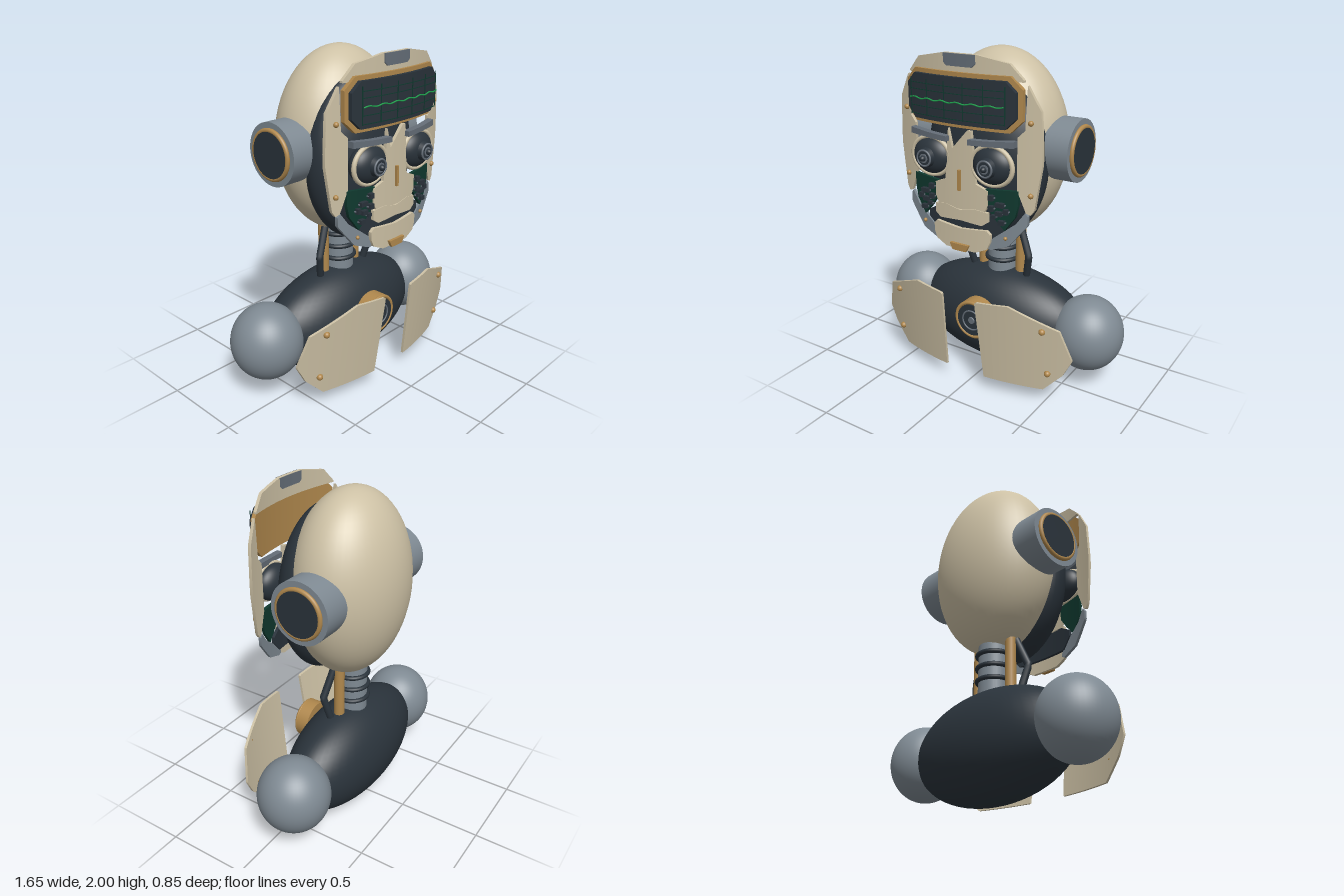
import * as THREE from 'three';
import { toCreasedNormals } from 'three/addons/utils/BufferGeometryUtils.js';

const material = (name, color) => {
  const m = new THREE.MeshStandardMaterial({ color });
  m.name = name;
  return m;
};

// A polyline's height at x
function heightAt(line, x) {
  for (let i = 1; i < line.length; i++) {
    const [x0, y0] = line[i - 1], [x1, y1] = line[i];
    if (x <= x1 + 1e-9) return y0 + (y1 - y0) * Math.max(0, (x - x0) / (x1 - x0));
  }
  return line[line.length - 1][1];
}

// Curved plate between an upper and a lower outline, bent by depth(x, y)
function plateGeometry(top, bottom, depth, front, thick) {
  const marks = [...new Set([...top, ...bottom].map(p => p[0]))].sort((a, b) => a - b);
  const xs = [];
  marks.forEach((x, i) => {
    if (i) {
      const n = Math.ceil((x - marks[i - 1]) / 0.05);
      for (let k = 1; k < n; k++) xs.push(marks[i - 1] + (x - marks[i - 1]) * k / n);
    }
    xs.push(x);
  });
  const rings = xs.map(x => {
    const t = heightAt(top, x), b = heightAt(bottom, x);
    const zt = depth(x, t) + front, zb = depth(x, b) + front;
    return [[x, b, zb], [x, t, zt], [x, t, zt - thick], [x, b, zb - thick]];
  });
  const pos = [];
  const quad = (a, b, c, d) => pos.push(...a, ...b, ...c, ...a, ...c, ...d);
  for (let i = 1; i < rings.length; i++) {
    const p = rings[i - 1], q = rings[i];
    for (let k = 0; k < 4; k++) quad(p[k], q[k], q[(k + 1) % 4], p[(k + 1) % 4]);
  }
  const a = rings[0], e = rings[rings.length - 1];
  quad(a[3], a[0], a[1], a[2]);
  quad(e[0], e[3], e[2], e[1]);
  const geo = new THREE.BufferGeometry();
  geo.setAttribute('position', new THREE.Float32BufferAttribute(pos, 3));
  return toCreasedNormals(geo, 0.5);
}

const faceZ = x => 0.33 - 0.35 * x * x;
const chestZ = (x, y) => 0.325 + 0.12 * (y - 0.1) - 0.32 * x * x;
const flip = line => line.map(([x, y]) => [-x, y]).reverse();

export function createModel() {
  const group = new THREE.Group();
  const cream = material('cream shell', 0xcdc1a5);
  const dark = material('dark casing', 0x2a333b);
  const grey = material('grey metal', 0x7f8a93);
  const steel = material('dark steel', 0x656e78);
  const gold = material('bronze', 0xb0884d);
  const board = material('circuit green', 0x10392f);
  const glow = material('bright green', 0x1f9f4d);

  const add = (name, geo, mat, x = 0, y = 0, z = 0) => {
    const m = new THREE.Mesh(geo, mat);
    m.name = name;
    m.position.set(x, y, z);
    group.add(m);
    return m;
  };
  const ball = (name, mat, r, p) => {
    const m = add(name, new THREE.SphereGeometry(1, 48, 32), mat, ...p);
    m.scale.set(...r);
    return m;
  };
  // Disc-like cylinder along z, from back to front
  const barrel = (name, mat, r0, r1, x, y, z0, z1) => {
    const geo = new THREE.CylinderGeometry(r1, r0, z1 - z0, 40).rotateX(Math.PI / 2);
    return add(name, geo, mat, x, y, (z0 + z1) / 2);
  };
  const plate = (name, mat, top, bottom, front = 0, thick = 0.02, depth = faceZ) =>
    add(name, plateGeometry(top, bottom, depth, front, thick), mat);
  const plates = (name, mat, top, bottom, ...rest) => {
    plate(name, mat, top, bottom, ...rest);
    plate(name, mat, flip(top), flip(bottom), ...rest);
  };
  const rect = (name, mat, x0, x1, y0, y1, front, thick) =>
    plate(name, mat, [[x0, y1], [x1, y1]], [[x0, y0], [x1, y0]], front, thick);

  // Head and body masses
  ball('skull', cream, [0.413, 0.55, 0.32], [0, 1.45, -0.1]);
  ball('innerHead', dark, [0.388, 0.505, 0.21], [0, 1.39, 0.06]);
  ball('torso', dark, [0.6, 0.323, 0.265], [0, 0.328, -0.105]);

  // Neck
  add('neckColumn', new THREE.CylinderGeometry(0.092, 0.092, 0.4, 32), grey, 0, 0.78, -0.11);
  for (const y of [0.71, 0.79, 0.87])
    add('neckRing', new THREE.TorusGeometry(0.097, 0.014, 10, 40).rotateX(Math.PI / 2), dark, 0, y, -0.11);

  // Forehead display
  plate('foreheadCap', cream,
    [[-0.365, 1.885], [-0.29, 1.965], [-0.1, 2], [0.1, 2], [0.29, 1.965], [0.365, 1.885]],
    [[-0.365, 1.875], [0.365, 1.875]]);
  plate('foreheadTab', steel, [[-0.1, 1.998], [0.1, 1.998]],
    [[-0.1, 1.95], [-0.08, 1.933], [0.08, 1.933], [0.1, 1.95]], 0.008, 0.03);
  const octagon = (name, mat, w, y0, y1, c, front, thick) => plate(name, mat,
    [[-w, y1 - c], [-w + c, y1], [w - c, y1], [w, y1 - c]],
    [[-w, y0 + c], [-w + c, y0], [w - c, y0], [w, y0 + c]], front, thick);
  octagon('displayFrame', gold, 0.37, 1.613, 1.905, 0.065, 0.018, 0.025);
  octagon('displayScreen', dark, 0.345, 1.635, 1.882, 0.055, 0.042, 0.024);
  for (const y of [1.665, 1.71, 1.8, 1.835])
    rect('gridLine', board, -0.3, 0.3, y - 0.002, y + 0.002, 0.064, 0.004);
  for (let i = -2.5; i <= 2.5; i++)
    rect('gridLine', board, i * 0.12 - 0.002, i * 0.12 + 0.002, 1.66, 1.86, 0.064, 0.004);
  const wave = [];
  for (let i = -15; i <= 15; i++)
    wave.push(new THREE.Vector3(i / 50, 1.755 + 0.004 * Math.sin(i * 1.3), faceZ(i / 50) + 0.07));
  add('signalTrace', new THREE.TubeGeometry(new THREE.CatmullRomCurve3(wave), 90, 0.004, 6), glow);

  // Nose, lips and chin
  plate('nosePlate', cream,
    [[-0.175, 1.28], [-0.1, 1.31], [-0.06, 1.42], [-0.05, 1.49], [-0.075, 1.6]].sort((a, b) => a[0] - b[0])
      .filter(p => p[0] !== -0.06).concat([[0.05, 1.6], [0.075, 1.6], [0.1, 1.31], [0.175, 1.28]]),
    [[-0.175, 1.2], [-0.15, 1.15], [0.15, 1.15], [0.175, 1.2]], 0.01);
  rect('noseSlit', gold, -0.008, 0.008, 1.26, 1.378, 0.025, 0.016);
  plate('upperLip', cream, [[-0.175, 1.155], [-0.1, 1.165], [0, 1.145], [0.1, 1.165], [0.175, 1.155]],
    [[-0.175, 1.1], [-0.14, 1.075], [0, 1.085], [0.14, 1.075], [0.175, 1.1]], 0.014);
  plate('mouthBacking', dark, [[-0.25, 1.09], [-0.18, 1.13], [0.18, 1.13], [0.25, 1.09]],
    [[-0.25, 1.05], [-0.19, 0.98], [0.19, 0.98], [0.25, 1.05]], -0.012);
  plate('chin', cream, [[-0.19, 1.03], [-0.17, 1.05], [0, 1.035], [0.17, 1.05], [0.19, 1.03]],
    [[-0.19, 0.985], [-0.17, 0.94], [-0.1, 0.908], [0.1, 0.908], [0.17, 0.94], [0.19, 0.985]], 0.014);
  plate('chinTab', gold, [[-0.062, 0.945], [0.062, 0.945]],
    [[-0.062, 0.94], [-0.045, 0.905], [0.045, 0.905], [0.062, 0.94]], 0.032, 0.025);

  // Paired face plates
  plates('sideFacePlate', cream,
    [[0.335, 1.59], [0.375, 1.63], [0.385, 1.86], [0.455, 1.73], [0.465, 1.52]],
    [[0.335, 1.3], [0.345, 1.28], [0.385, 1.18], [0.41, 1.17], [0.43, 1.2], [0.465, 1.45]]);
  plates('jawPlate', grey,
    [[0.165, 0.96], [0.2, 1.01], [0.33, 1.11], [0.38, 1.18], [0.395, 1.16]],
    [[0.165, 0.945], [0.185, 0.935], [0.29, 0.975], [0.39, 1.1], [0.395, 1.11]], -0.002);
  plates('browBar', steel, [[0.07, 1.56], [0.2, 1.565], [0.335, 1.575]],
    [[0.07, 1.53], [0.2, 1.535], [0.335, 1.54]], 0.04, 0.04);
  plates('cheekBoard', board, [[0.16, 1.29], [0.345, 1.3]],
    [[0.16, 1.2], [0.21, 1.13], [0.27, 1.065], [0.33, 1.15], [0.345, 1.22]], 0.005);

  for (const s of [-1, 1]) {
    // Eyes
    const ring = add('eyeRing', new THREE.TorusGeometry(0.127, 0.014, 12, 48), cream, s * 0.2, 1.425, 0.325);
    ring.scale.y = 0.85;
    ball('eyeball', dark, [0.127, 0.108, 0.075], [s * 0.2, 1.425, 0.305]);
    barrel('lensBarrel', dark, 0.062, 0.046, s * 0.2, 1.425, 0.35, 0.4);
    add('lensRing', new THREE.TorusGeometry(0.044, 0.006, 8, 36), steel, s * 0.2, 1.425, 0.398);
    barrel('lensDisc', steel, 0.026, 0.026, s * 0.2, 1.425, 0.395, 0.404);
    ball('pupil', dark, [0.017, 0.017, 0.022], [s * 0.2, 1.425, 0.405]);

    // Circuit chips on the cheeks
    for (const [x, y, w, h] of [[0.2, 1.25, 0.03, 0.03], [0.25, 1.215, 0.05, 0.025], [0.2, 1.19, 0.03, 0.03],
      [0.245, 1.165, 0.04, 0.025], [0.285, 1.18, 0.025, 0.03], [0.26, 1.115, 0.035, 0.025], [0.215, 1.145, 0.025, 0.02]]) {
      add('chip', new THREE.BoxGeometry(w, h, 0.025), dark, s * x, y, faceZ(x) + 0.017);
      add('chipLeads', new THREE.BoxGeometry(w + 0.012, 0.006, 0.012), steel, s * x, y, faceZ(x) + 0.01);
    }

    // Bolts
    for (const [x, y, r, depth] of [[0.405, 1.67, 0.015, faceZ], [0.41, 1.28, 0.015, faceZ],
      [0.275, 1.02, 0.011, faceZ], [0.51, 0.505, 0.019, chestZ], [0.53, 0.22, 0.019, chestZ]])
      ball('bolt', gold, [r, r, r], [s * x, y, depth(x, y) + 0.003]);

    // Ear housings
    const turn = g => g.rotateZ(Math.PI / 2);
    add('earHousing', turn(new THREE.CylinderGeometry(0.18, 0.18, 0.215, 48)), grey, s * 0.4075, 1.458, -0.105);
    add('earRing', new THREE.TorusGeometry(0.135, 0.014, 12, 48).rotateY(Math.PI / 2), gold, s * 0.52, 1.458, -0.105);
    add('earCap', turn(new THREE.CylinderGeometry(0.13, 0.13, 0.04, 48)), dark, s * 0.513, 1.458, -0.105);

    // Shoulders
    ball('shoulder', grey, [0.215, 0.23, 0.215], [s * 0.609, 0.347, -0.105]);

    // Neck pistons and hoses
    add('neckPiston', new THREE.CylinderGeometry(0.032, 0.032, 0.4, 20), gold, s * 0.134, 0.78, -0.105);
    const path = new THREE.CurvePath();
    const pts = [[0.15, 0.94, -0.075], [0.222, 0.77, -0.05], [0.185, 0.6, -0.085]]
      .map(p => new THREE.Vector3(s * p[0], p[1], p[2]));
    path.add(new THREE.LineCurve3(pts[0], pts[1]));
    path.add(new THREE.LineCurve3(pts[1], pts[2]));
    add('neckHose', new THREE.TubeGeometry(path, 24, 0.022, 12), dark);
  }

  // Chest armour
  plates('chestPlate', cream,
    [[0.115, 0.61], [0.125, 0.617], [0.32, 0.635], [0.6, 0.515], [0.66, 0.325]],
    [[0.115, 0.58], [0.135, 0.1], [0.5, 0.1], [0.61, 0.215], [0.66, 0.315]], 0, 0.016, chestZ);

  // Chest core
  barrel('coreHousing', gold, 0.122, 0.122, 0, 0.405, 0.15, 0.235);
  add('coreRim', new THREE.TorusGeometry(0.112, 0.011, 12, 48), gold, 0, 0.405, 0.235);
  barrel('coreLens', dark, 0.104, 0.1, 0, 0.405, 0.2, 0.245);
  add('coreRing', new THREE.TorusGeometry(0.062, 0.005, 8, 40), steel, 0, 0.405, 0.246);
  barrel('coreCentre', steel, 0.025, 0.02, 0, 0.405, 0.24, 0.252);
  return group;
}
